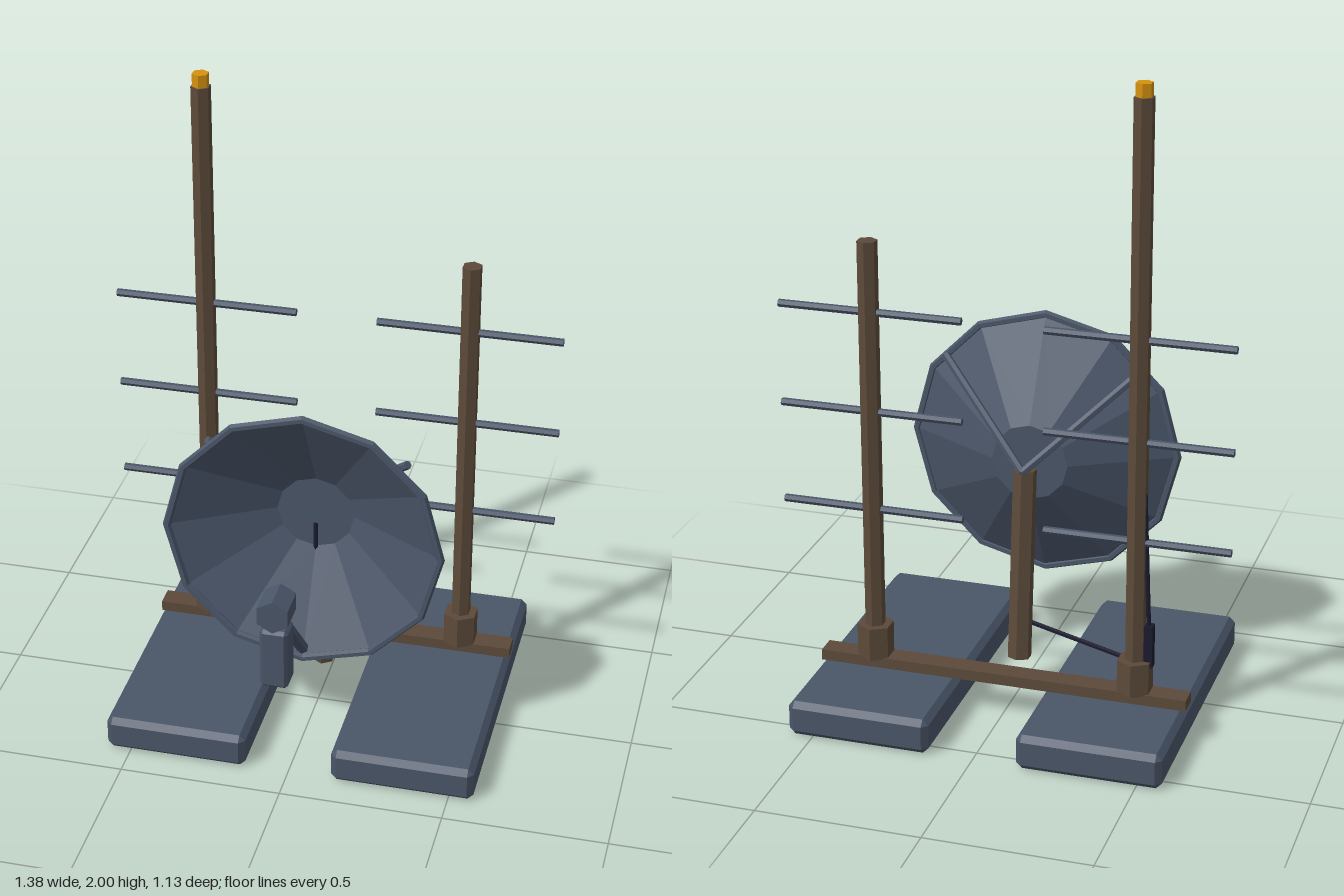
import * as THREE from 'three';
import { ConvexGeometry } from 'three/addons/geometries/ConvexGeometry.js';

const mat = (name, color, extra = {}) => {
  const m = new THREE.MeshStandardMaterial({ color, ...extra });
  m.name = name;
  return m;
};

// Non-indexed copy with one normal per face
function faceted(geometry) {
  const g = geometry.index ? geometry.toNonIndexed() : geometry;
  g.computeVertexNormals();
  return g;
}

// Box with every edge and corner cut by c
function chamferedBox(w, h, d, c) {
  const pts = [];
  for (const sx of [-1, 1]) for (const sy of [-1, 1]) for (const sz of [-1, 1]) {
    const x = w / 2, y = h / 2, z = d / 2;
    pts.push(
      new THREE.Vector3(sx * x, sy * (y - c), sz * (z - c)),
      new THREE.Vector3(sx * (x - c), sy * y, sz * (z - c)),
      new THREE.Vector3(sx * (x - c), sy * (y - c), sz * z));
  }
  return new ConvexGeometry(pts);
}

export function createModel() {
  const model = new THREE.Group();
  model.name = 'antennaStation';
  const slate = mat('slate metal', 0x4a5568);
  const dishSlate = slate.clone();
  dishSlate.side = THREE.DoubleSide;
  const brown = mat('brown metal', 0x5c4a3a);
  const amber = mat('amber lamp', 0xd6920f);
  const dark = mat('dark cable', 0x1a1a2e);

  function add(name, geometry, material, x = 0, y = 0, z = 0) {
    const mesh = new THREE.Mesh(geometry, material);
    mesh.name = name;
    mesh.position.set(x, y, z);
    model.add(mesh);
    return mesh;
  }

  // Faceted rod between two points
  function rod(name, a, b, radius, material, sides = 6) {
    const p = new THREE.Vector3(...a), q = new THREE.Vector3(...b);
    const dir = q.clone().sub(p);
    const mesh = add(name, faceted(new THREE.CylinderGeometry(radius, radius, dir.length(), sides)), material);
    mesh.position.copy(p).add(q).multiplyScalar(0.5);
    mesh.quaternion.setFromUnitVectors(new THREE.Vector3(0, 1, 0), dir.normalize());
    return mesh;
  }

  const mastZ = -0.235, mastX = 0.41;

  // Two ballast slabs joined by a crossbar
  for (const s of [-1, 1])
    add(s < 0 ? 'rightSlab' : 'leftSlab', chamferedBox(0.44, 0.11, 0.97, 0.018), slate, s * 0.355, 0.055, -0.077);
  add('crossbar', new THREE.BoxGeometry(1.15, 0.034, 0.067), brown, 0, 0.128, -0.237);

  // Masts with collars and aerial rods
  for (const [side, s, top] of [['right', -1, 1.96], ['left', 1, 1.47]]) {
    const x = s * mastX;
    rod(side + 'Mast', [x, 0.12, mastZ], [x, top, mastZ], 0.031, brown);
    rod(side + 'Collar', [x, 0.14, mastZ], [x, 0.245, mastZ], 0.056, brown);
    for (const y of [0.625, 0.938, 1.25])
      rod(side + 'AerialRod', [s * 0.125, y, mastZ], [s * 0.692, y, mastZ], 0.012, slate);
  }
  rod('mastLamp', [-mastX, 1.96, mastZ], [-mastX, 2, mastZ], 0.026, amber);

  // Dish: flat hub and a twelve-sided cone, with a thin rim
  const profile = [[0, 0], [0.12, 0], [0.42, 0.17]].map(p => new THREE.Vector2(...p));
  const dish = add('dish', faceted(new THREE.LatheGeometry(profile, 12)), dishSlate, 0, 0.718, 0.032);
  dish.rotation.x = Math.PI / 2;
  add('dishRim', faceted(new THREE.TorusGeometry(0.42, 0.013, 6, 12)), slate, 0, 0.718, 0.203);

  // Leaning post and the two braces behind the dish
  rod('dishPost', [0, 0.112, -0.073], [0, 0.713, -0.015], 0.037, brown);
  for (const s of [-1, 1])
    rod('dishBrace', [0, 0.715, -0.045], [s * 0.305, 0.995, 0.145], 0.013, slate);

  // Feed arm, horn and receiver box
  rod('feedArm', [0, 0.335, 0.205], [0, 0.655, 0.5], 0.019, slate);
  rod('feedHorn', [0, 0.683, 0.46], [0, 0.683, 0.564], 0.053, slate);
  add('receiverBox', chamferedBox(0.084, 0.198, 0.084, 0.01), slate, 0, 0.529, 0.514);

  // Cable from the dish to the tall mast, then up its side
  const path = [[0, 0.68, 0.03], [0, 0.18, 0.034], [-0.4, 0.217, -0.2]];
  for (let i = 0; i < path.length - 1; i++)
    rod('dishCable', path[i], path[i + 1], 0.008, dark);
  rod('mastCable', [-0.452, 0.3, mastZ], [-0.432, 0.78, mastZ], 0.007, dark);
  add('cablePlug', new THREE.BoxGeometry(0.026, 0.135, 0.03), dark, -0.452, 0.293, mastZ);

  return model;
}
